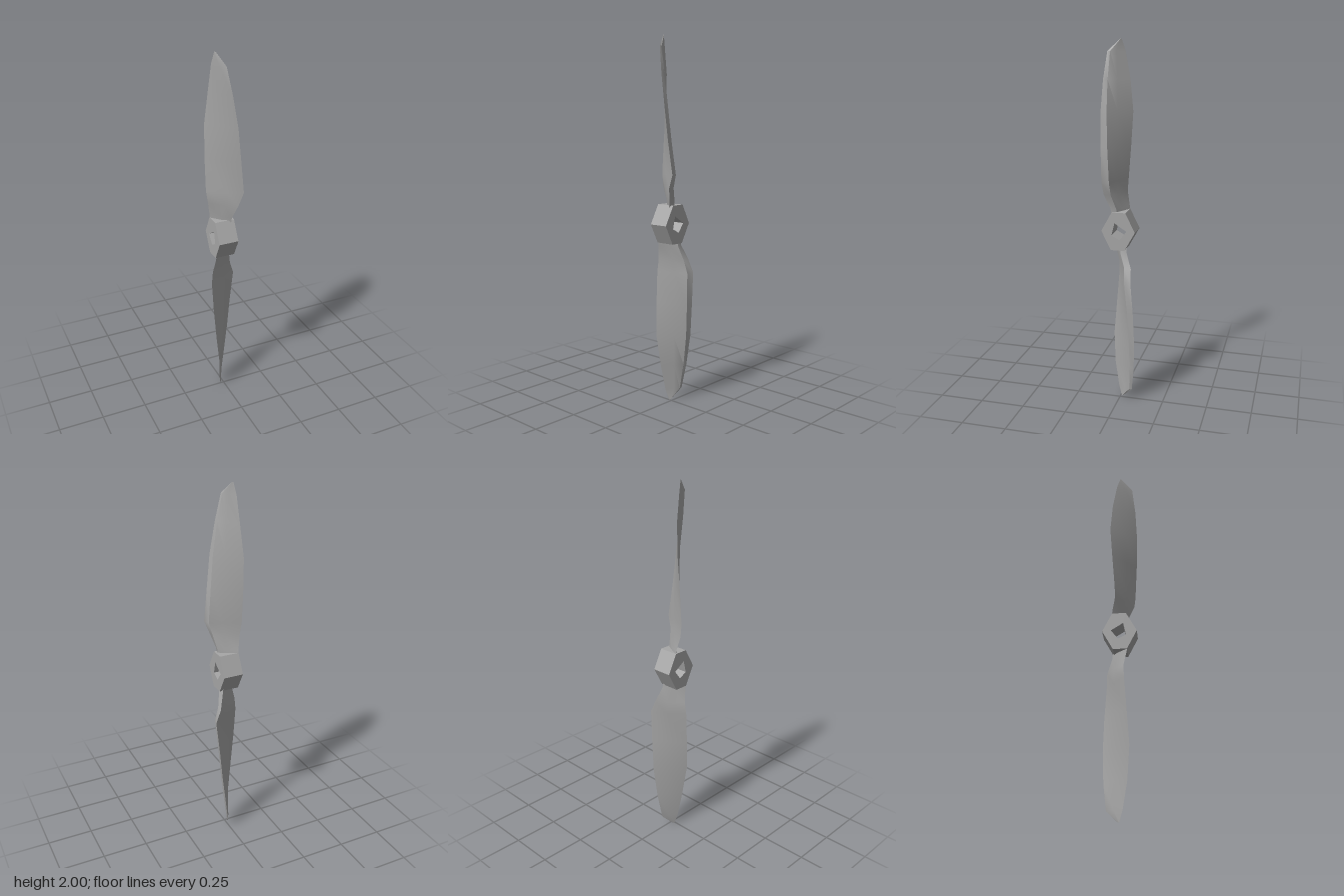
import * as THREE from 'three';
import { toCreasedNormals } from 'three/addons/utils/BufferGeometryUtils.js';

// Blade stations: distance from axis, trailing edge x z, leading edge x z, thickness
const STATIONS = [
  [0.055, -0.062, -0.045, 0.02, 0.04, 0.03],
  [0.12, -0.065, -0.038, 0.028, 0.045, 0.032],
  [0.2, -0.08, -0.022, 0.052, 0.075, 0.032],
  [0.27, -0.09, -0.025, 0.08, 0.08, 0.03],
  [0.45, -0.09, -0.038, 0.058, 0.09, 0.024],
  [0.63, -0.085, -0.05, 0.038, 0.095, 0.019],
  [0.8, -0.068, -0.038, 0.01, 0.088, 0.013],
  [0.94, -0.06, -0.014, -0.016, 0.072, 0.008],
  [1.0, -0.051, 0.004, -0.046, 0.012, 0.003],
];

// Twisted aerofoil lofted through the stations; lean shifts the tip along x
function bladeGeometry(lean) {
  const pos = [], index = [], n = 5;
  for (const [y, ax, az, bx, bz, t] of STATIONS) {
    const dx = bx - ax, dz = bz - az, len = Math.hypot(dx, dz);
    const nx = dz / len, nz = -dx / len;
    const profile = [[0, 0], [0.5, 0.6], [0.86, 0.9], [1, 0], [0.55, -0.25]];
    for (const [u, v] of profile) {
      pos.push(ax + dx * u + nx * t * v + lean * y, y, az + dz * u + nz * t * v);
    }
  }
  const rows = STATIONS.length;
  for (let i = 0; i < rows - 1; i++) {
    for (let j = 0; j < n; j++) {
      const a = i * n + j, b = i * n + (j + 1) % n;
      index.push(a, b + n, b, a, a + n, b + n);
    }
  }
  // End caps
  const top = (rows - 1) * n;
  for (let j = 1; j < n - 1; j++) {
    index.push(0, j, j + 1, top, top + j + 1, top + j);
  }
  const g = new THREE.BufferGeometry();
  g.setAttribute('position', new THREE.Float32BufferAttribute(pos, 3));
  g.setIndex(index);
  return toCreasedNormals(g, 0.6);
}

// Faceted hub with a square bore along x
function hubGeometry() {
  const pts = (list) => list.map(([x, y]) => new THREE.Vector2(x, y));
  const shape = new THREE.Shape(pts([
    [0.093, 0], [0.04, 0.105], [-0.035, 0.105], [-0.093, 0], [-0.04, -0.105], [0.035, -0.105],
  ]));
  shape.holes.push(new THREE.Path(pts([[0.046, 0.004], [0.008, -0.046], [-0.036, -0.022], [-0.02, 0.046]])));
  const g = new THREE.ExtrudeGeometry(shape, { depth: 0.11, bevelEnabled: false });
  g.rotateY(Math.PI / 2);
  g.translate(-0.065, 0, 0);
  return g;
}

export function createModel() {
  const model = new THREE.Group();
  model.name = 'propeller';
  const grey = new THREE.MeshStandardMaterial({ color: 0xa6a6a6 });
  grey.name = 'grey';

  const add = (name, geometry) => {
    const mesh = new THREE.Mesh(geometry, grey);
    mesh.name = name;
    mesh.position.y = 1;
    model.add(mesh);
    return mesh;
  };
  add('hub', hubGeometry());
  add('upperBlade', bladeGeometry(0));
  // Lower blade is the upper one turned half round the shaft
  add('lowerBlade', bladeGeometry(0.03)).rotation.x = Math.PI;
  return model;
}
